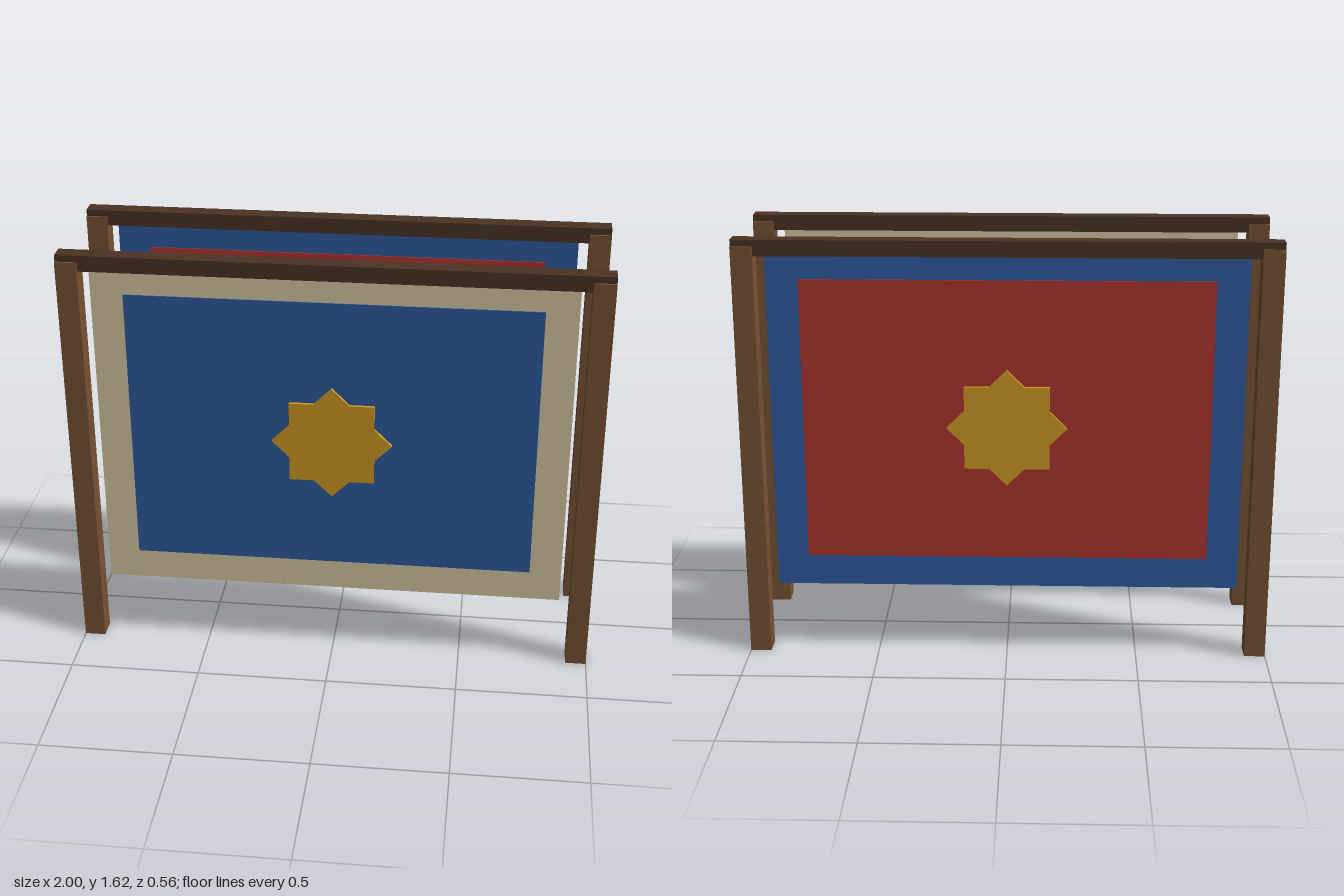
import * as THREE from 'three';

const mat = (color) => new THREE.MeshStandardMaterial({ color });
const wood = mat(0x785334), darkWood = mat(0x4a3324), gold = mat(0xd29b25);
const cream = mat(0xd9cba6), blue = mat(0x2e5ca3), red = mat(0xb03630);

function box(parent, name, material, size, x, y) {
  const mesh = new THREE.Mesh(new THREE.BoxGeometry(...size), material);
  mesh.name = name;
  mesh.position.set(x, y, 0);
  parent.add(mesh);
}

// Eight-pointed star: the outline of two crossed squares, raised on both faces
function starGeometry(radius, depth) {
  const inner = radius * Math.SQRT1_2 / Math.cos(Math.PI / 8);
  const points = [];
  for (let i = 0; i < 16; i++) {
    const r = i % 2 ? inner : radius, a = i * Math.PI / 8;
    points.push(new THREE.Vector2(r * Math.cos(a), r * Math.sin(a)));
  }
  return new THREE.ExtrudeGeometry(new THREE.Shape(points), { depth, bevelEnabled: false })
    .translate(0, 0, -depth / 2);
}

// One hanging cloth on two posts and a top beam
function createBanner(name, border, field) {
  const banner = new THREE.Group();
  banner.name = name;
  box(banner, 'leftPost', wood, [0.08, 1.6, 0.08], 0.96, 0.8);
  box(banner, 'rightPost', wood, [0.08, 1.6, 0.08], -0.96, 0.8);
  box(banner, 'topBeam', darkWood, [2, 0.06, 0.064], 0, 1.595);
  box(banner, 'clothBorder', border, [1.76, 1.3, 0.048], 0, 0.93);
  box(banner, 'clothField', field, [1.52, 1.08, 0.056], 0, 0.94);
  const star = new THREE.Mesh(starGeometry(0.225, 0.08), gold);
  star.name = 'star';
  star.position.y = 0.92;
  banner.add(star);
  return banner;
}

export function createModel() {
  const model = new THREE.Group();
  model.name = 'bannerPair';
  const front = createBanner('frontBanner', cream, blue);
  front.position.z = 0.24;
  const back = createBanner('backBanner', blue, red);
  back.position.z = -0.24;
  model.add(front, back);
  return model;
}
